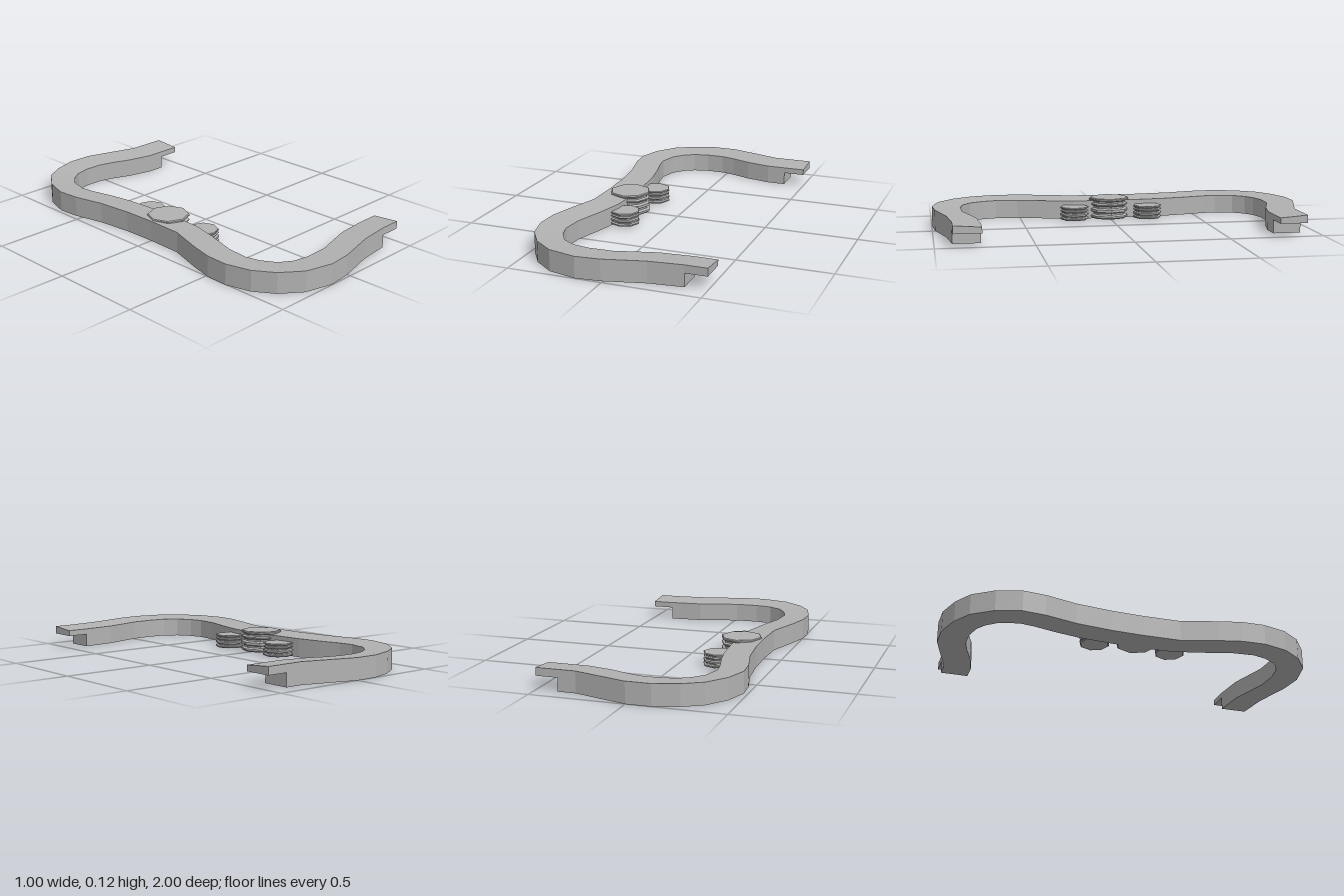
import * as THREE from 'three';

// Stations along the band, from the front tip round to the rear tip: [outer x, outer z, inner x, inner z]
const STATIONS = [
  [0.5, 0.91, 0.5, 0.765],
  [0.385, 0.91, 0.385, 0.765],
  [0.205, 0.93, 0.205, 0.78],
  [-0.01, 0.985, -0.01, 0.84],
  [-0.14, 0.997, -0.135, 0.845],
  [-0.29, 0.96, -0.225, 0.83],
  [-0.4, 0.875, -0.295, 0.785],
  [-0.47, 0.77, -0.34, 0.71],
  [-0.505, 0.635, -0.36, 0.635],
  [-0.5, 0.51, -0.35, 0.515],
  [-0.47, 0.39, -0.3, 0.345],
  [-0.41, 0.2, -0.265, 0.2],
  [-0.405, 0, -0.255, 0],
  [-0.41, -0.18, -0.265, -0.18],
  [-0.43, -0.37, -0.275, -0.31],
  [-0.45, -0.455, -0.3, -0.445],
  [-0.47, -0.54, -0.33, -0.565],
  [-0.48, -0.66, -0.34, -0.64],
  [-0.44, -0.79, -0.315, -0.74],
  [-0.36, -0.9, -0.265, -0.8],
  [-0.26, -0.96, -0.21, -0.835],
  [-0.13, -1, -0.13, -0.855],
  [0, -1, -0.035, -0.855],
  [0.075, -0.978, 0.045, -0.835],
  [0.15, -0.955, 0.15, -0.795],
  [0.29, -0.912, 0.285, -0.765],
  [0.385, -0.912, 0.385, -0.765],
  [0.5, -0.912, 0.5, -0.765],
];
const OUTER_TOP = 0.112;
const INNER_TOP = 0.101; // the top face leans slightly inward

// Four-sided bar lofted through the stations, closed at both ends
function bandGeometry(stations, bottom) {
  const positions = [];
  const index = [];
  for (const [ox, oz, ix, iz] of stations) {
    positions.push(ox, bottom, oz, ox, OUTER_TOP, oz, ix, INNER_TOP, iz, ix, bottom, iz);
  }
  const last = (stations.length - 1) * 4;
  for (let i = 0; i < last; i += 4) {
    for (let k = 0; k < 4; k++) {
      const a = i + k;
      const b = i + (k + 1) % 4;
      index.push(a + 4, a, b, a + 4, b, b + 4);
    }
  }
  index.push(0, 3, 2, 0, 2, 1, last, last + 1, last + 2, last, last + 2, last + 3);
  const geometry = new THREE.BufferGeometry();
  geometry.setAttribute('position', new THREE.Float32BufferAttribute(positions, 3));
  geometry.setIndex(index);
  const flat = geometry.toNonIndexed();
  flat.computeVertexNormals();
  return flat;
}

// Eight-sided knob with ribs and grooves; radius and height scale the profile
function knobGeometry(radius, height) {
  const profile = [
    [0, 0], [0.93, 0], [1, 0.06], [1, 0.14], [0.87, 0.2], [0.87, 0.28],
    [1, 0.34], [1, 0.46], [0.87, 0.52], [0.87, 0.6], [0.99, 0.67], [0.99, 0.72],
    [0.87, 0.77], [0.87, 0.84], [1, 0.9], [1, 0.96], [0.96, 1], [0, 1],
  ].map(([r, y]) => new THREE.Vector2(r * radius, y * height));
  const geometry = new THREE.LatheGeometry(profile, 8).toNonIndexed();
  geometry.computeVertexNormals();
  return geometry;
}

export function createModel() {
  const model = new THREE.Group();
  model.name = 'curvedBand';
  const grey = new THREE.MeshStandardMaterial({ color: 0xb2b2b2, flatShading: true });
  grey.name = 'grey';

  const add = (name, geometry, x = 0, y = 0, z = 0) => {
    const mesh = new THREE.Mesh(geometry, grey);
    mesh.name = name;
    mesh.position.set(x, y, z);
    model.add(mesh);
  };

  // Wavy band and the thinner tongues at its two ends
  add('band', bandGeometry(STATIONS.slice(1, -1), 0));
  add('frontTongue', bandGeometry(STATIONS.slice(0, 2), 0.07));
  add('rearTongue', bandGeometry(STATIONS.slice(-2), 0.07));

  // Large ribbed knob between two small ones
  add('largeKnob', knobGeometry(0.112, 0.115), -0.28, 0.003, 0);
  add('rearKnob', knobGeometry(0.081, 0.072), -0.213, 0.005, -0.21);
  add('frontKnob', knobGeometry(0.081, 0.072), -0.223, 0.005, 0.205);

  return model;
}
